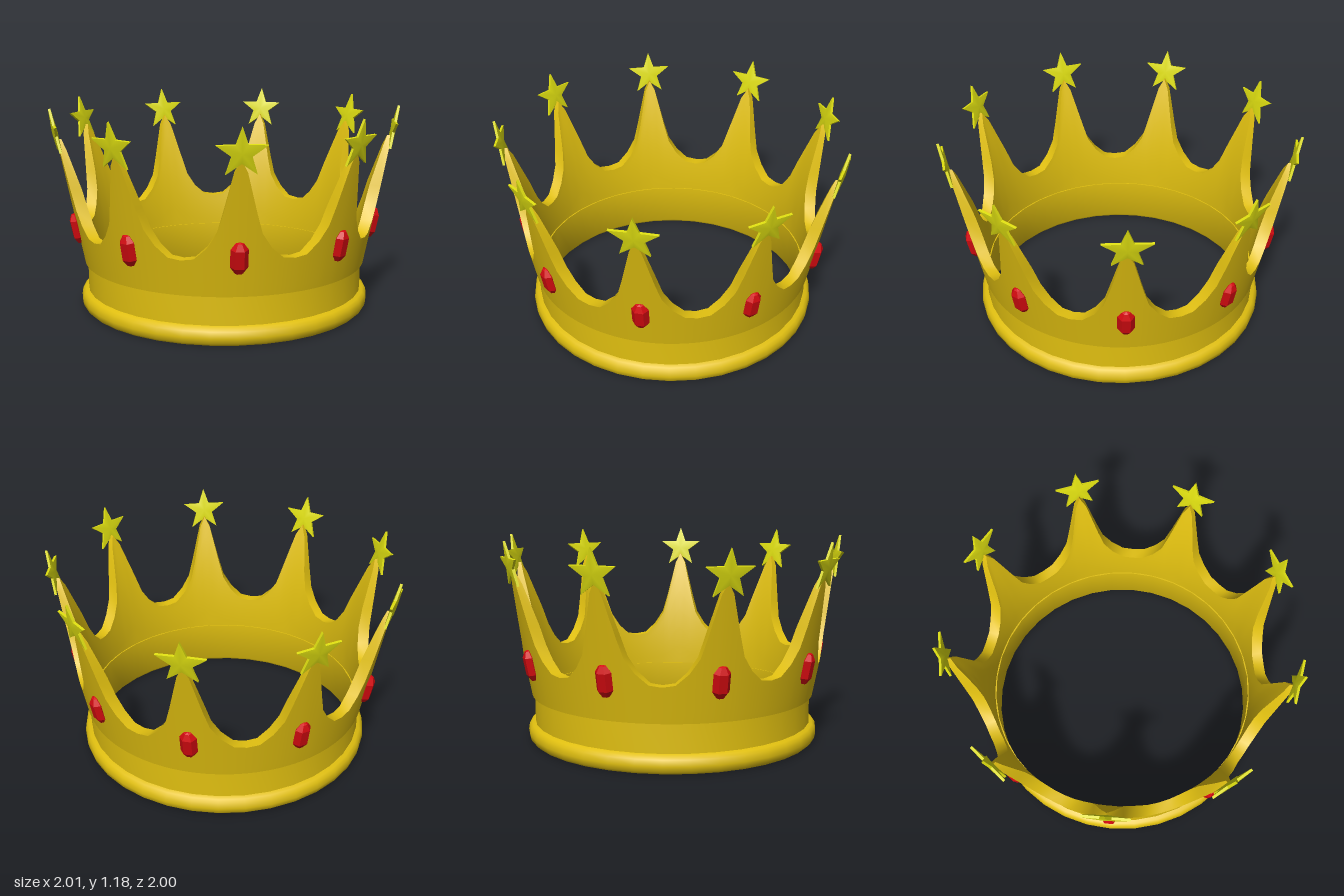
import * as THREE from 'three';
import { toCreasedNormals } from 'three/addons/utils/BufferGeometryUtils.js';

const COUNT = 9;
const STEP = (Math.PI * 2) / COUNT;
const LEAN = 0.2; // outward slope of the wall

const outerRadius = (y) => 0.83 + LEAN * 0.97 * (y - 0.27);
const innerRadius = (y) => 0.795 + 0.28 * (y - 0.27) ** 2;

function indexed(positions, index) {
  const g = new THREE.BufferGeometry();
  g.setAttribute('position', new THREE.Float32BufferAttribute(positions, 3));
  g.setIndex(index);
  return g;
}

// Flared wall whose top edge rises into nine points
function wallGeometry() {
  // degrees from the tip of a point, height of the edge
  const half = [[0, 1.01], [1.9, 0.95], [5.4, 0.73], [7.5, 0.62], [11, 0.54], [15.5, 0.48], [20, 0.47]];
  const columns = [];
  for (let k = 0; k < COUNT; k++) {
    const at = (deg) => k * STEP + THREE.MathUtils.degToRad(deg);
    for (let i = half.length - 2; i > 0; i--) columns.push([at(-half[i][0]), half[i][1]]);
    for (const [deg, y] of half) columns.push([at(deg), y]);
  }
  const rows = 6, ring = rows * 2 + 2;
  const positions = [], index = [];
  columns.forEach(([a, top], i) => {
    for (let j = 0; j < ring; j++) {
      const inner = j > rows;
      const t = (inner ? ring - 1 - j : j) / rows;
      const y = THREE.MathUtils.lerp(0.27, top, t);
      const r = inner ? innerRadius(y) : outerRadius(y);
      positions.push(Math.sin(a) * r, y, Math.cos(a) * r);
      const n = (i + 1) % columns.length, m = (j + 1) % ring;
      const p = i * ring + j, q = n * ring + j, s = n * ring + m, u = i * ring + m;
      index.push(p, q, s, p, s, u);
    }
  });
  return toCreasedNormals(indexed(positions, index), 0.7);
}

// Thin star, slightly raised in the middle of both faces
function starGeometry() {
  const positions = [0, 0, 0.016, 0, 0, -0.016], index = [];
  for (let i = 0; i < 10; i++) {
    const r = i % 2 ? 0.054 : 0.136, a = (i * Math.PI) / 5;
    const x = -Math.sin(a) * r, y = Math.cos(a) * r;
    positions.push(x, y, 0.007, x, y, -0.007);
    const f = 2 + i * 2, g = 2 + ((i + 1) % 10) * 2;
    index.push(0, f, g, 1, g + 1, f + 1, f, f + 1, g + 1, f, g + 1, g);
  }
  return toCreasedNormals(indexed(positions, index), 0.6);
}

// Long six-sided cut stone
function gemGeometry() {
  const profile = [[0, -0.09], [0.022, -0.085], [0.047, -0.05], [0.047, 0.05], [0.022, 0.085], [0, 0.09]];
  const g = new THREE.LatheGeometry(profile.map(([x, y]) => new THREE.Vector2(x, y)), 6, Math.PI / 6);
  g.scale(1, 1, 0.75);
  return toCreasedNormals(g, 0.2);
}

export function createModel() {
  const gold = new THREE.MeshStandardMaterial({ name: 'gold', color: 0xe0bf10 });
  const yellow = new THREE.MeshStandardMaterial({ name: 'star yellow', color: 0xdede10 });
  const red = new THREE.MeshStandardMaterial({ name: 'gem red', color: 0xd40a10 });

  const crown = new THREE.Group();
  crown.name = 'crown';
  const add = (name, geometry, material, parent = crown) => {
    const mesh = new THREE.Mesh(geometry, material);
    mesh.name = name;
    parent.add(mesh);
    return mesh;
  };

  // Base band with a rounded bottom rim
  const section = [
    [0.79, 0.275], [0.79, 0.02], [0.8, 0.005], [0.835, 0.005], [0.85, 0.02], [0.856, 0.05],
    [0.85, 0.085], [0.835, 0.1], [0.815, 0.108], [0.815, 0.275], [0.79, 0.275],
  ].map(([x, y]) => new THREE.Vector2(x, y));
  add('baseBand', toCreasedNormals(new THREE.LatheGeometry(section, 36), 0.8), gold);

  add('pointedWall', wallGeometry(), gold);

  // One star and one gem on every point
  const star = starGeometry(), gem = gemGeometry();
  for (let k = 0; k < COUNT; k++) {
    const point = new THREE.Group();
    point.name = 'pointOrnaments';
    point.rotation.y = k * STEP;
    crown.add(point);

    const starMesh = add('star', star, yellow, point);
    starMesh.position.set(0, 1.048, 0.982);
    starMesh.rotation.x = LEAN;

    const gemMesh = add('gem', gem, red, point);
    gemMesh.position.set(0, 0.49, 0.876);
    gemMesh.rotation.x = LEAN;
  }

  crown.position.z = -0.015;
  const model = new THREE.Group();
  model.name = 'model';
  model.add(crown);
  return model;
}
